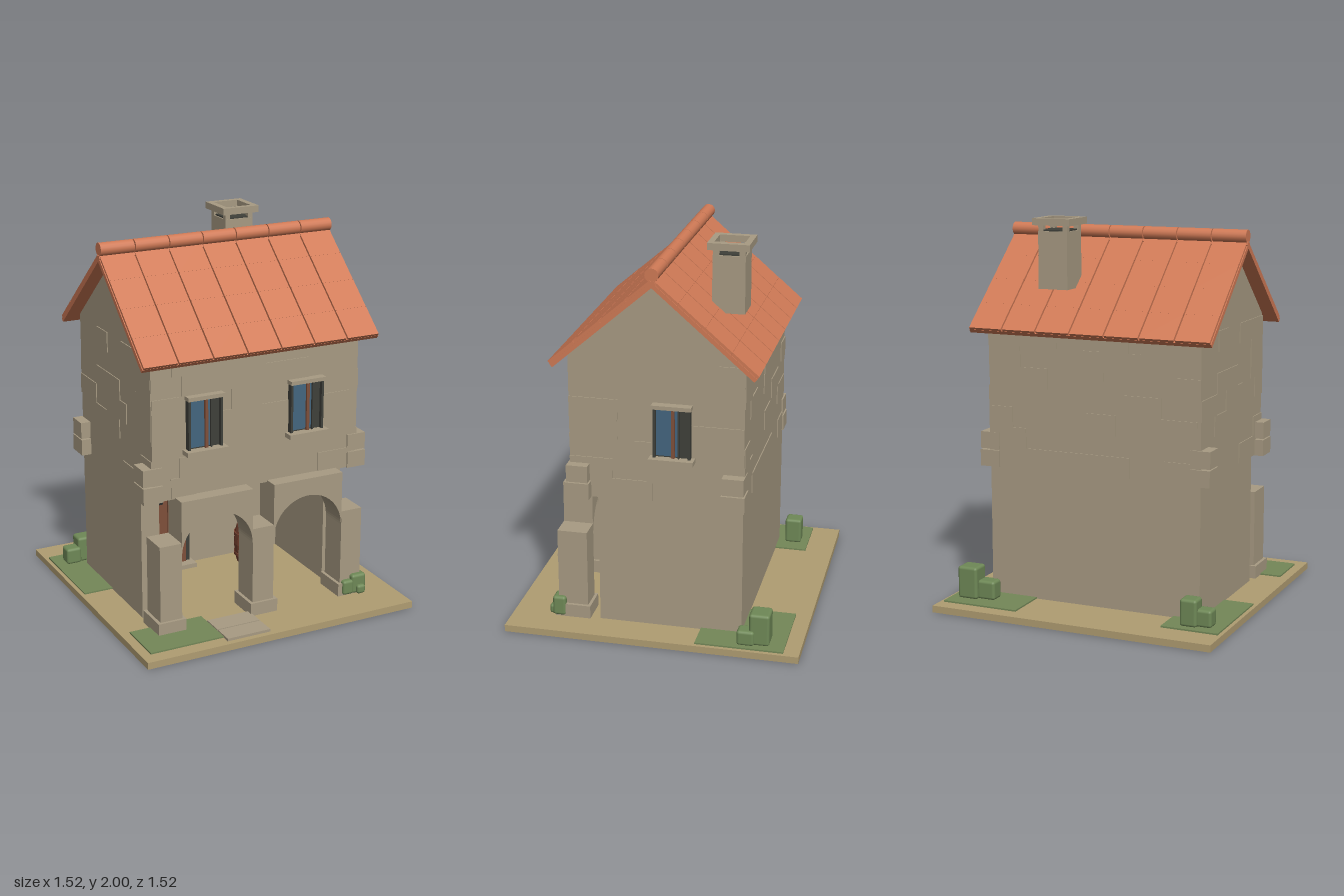
import * as THREE from 'three';
import { RoundedBoxGeometry } from 'three/addons/geometries/RoundedBoxGeometry.js';

const mat = (name, color) => {
  const m = new THREE.MeshStandardMaterial({ color });
  m.name = name;
  return m;
};

export function createModel() {
  const stone = mat('stone', 0xa89b83), tile = mat('roof tile', 0xd07a56);
  const earth = mat('earth', 0xb09d72), grass = mat('grass', 0x748858);
  const leaf = mat('leaf', 0x6f8957), glass = mat('glass', 0x44667f);
  const dark = mat('dark', 0x3f403a), wood = mat('door wood', 0x80503a);
  const barrelWood = mat('barrel wood', 0x733f2e), iron = mat('iron', 0x2e2e2d);

  const house = new THREE.Group();
  house.name = 'house';

  const add = (parent, name, geometry, material) => {
    const mesh = new THREE.Mesh(geometry, material);
    mesh.name = name;
    parent.add(mesh);
    return mesh;
  };
  const group = (name, parent = house) => {
    const g = new THREE.Group();
    g.name = name;
    parent.add(g);
    return g;
  };
  // box given by its limits on each axis
  const box = (parent, name, material, [x0, x1], [y0, y1], [z0, z1]) => {
    const g = new THREE.BoxGeometry(x1 - x0, y1 - y0, z1 - z0);
    g.translate((x0 + x1) / 2, (y0 + y1) / 2, (z0 + z1) / 2);
    return add(parent, name, g, material);
  };

  // ground, lawns and path
  box(house, 'ground', earth, [-0.76, 0.76], [0, 0.036], [-0.76, 0.76]);
  box(house, 'lawnBackLeft', grass, [-0.74, -0.44], [0.036, 0.044], [-0.61, -0.09]);
  box(house, 'lawnBackRight', grass, [0.325, 0.74], [0.036, 0.044], [-0.68, -0.23]);
  box(house, 'lawnFront', grass, [-0.71, -0.31], [0.036, 0.044], [0.43, 0.685]);
  box(house, 'pathSlab', stone, [-0.31, -0.07], [0.036, 0.05], [0.5, 0.615]);
  box(house, 'pathSlab', stone, [-0.31, -0.07], [0.036, 0.05], [0.622, 0.73]);

  // lower storey: recessed front wall between two side walls
  box(house, 'recessedWall', stone, [-0.58, 0.58], [0.036, 0.73], [-0.44, -0.22]);
  for (const s of [-1, 1]) {
    box(house, 'sideWall', stone, [s * 0.53 - 0.05, s * 0.53 + 0.05], [0.036, 0.73], [-0.22, 0.3]);
  }

  // upper storey with gables
  const gable = new THREE.Shape();
  gable.moveTo(-0.442, 0.72);
  gable.lineTo(0.442, 0.72);
  gable.lineTo(0.442, 1.47);
  gable.lineTo(0, 1.855);
  gable.lineTo(-0.442, 1.47);
  const upper = new THREE.ExtrudeGeometry(gable, { depth: 1.16, bevelEnabled: false });
  upper.translate(0, 0, -0.58);
  upper.rotateY(Math.PI / 2);
  add(house, 'upperWalls', upper, stone);

  // scattered raised stones on the upper walls
  let seed = 7;
  const rand = () => (seed = (seed * 16807) % 2147483647) / 2147483647;
  const courses = (half, depth, turn) => {
    const face = group('wallStones');
    face.rotation.y = turn;
    for (let row = 0; row < 7; row++) {
      const y = 0.725 + row * 0.105;
      for (let x = -half; x < half - 0.06;) {
        const end = Math.min(half, x + 0.1 + rand() * 0.12);
        if (rand() < 0.4) box(face, 'wallStone', stone, [x, end], [y, y + 0.105], [depth - 0.01, depth + 0.005]);
        x = end;
      }
    }
  };
  courses(0.58, 0.442, 0);
  courses(0.58, 0.442, Math.PI);
  courses(0.442, 0.58, Math.PI / 2);
  courses(0.442, 0.58, -Math.PI / 2);

  // corner stones
  for (const sx of [-1, 1]) for (const sz of [-1, 1]) {
    const c = sx * 0.58, d = sz * 0.395;
    box(house, 'cornerStone', stone, [c - 0.053, c + 0.053], [0.72, 0.806], [d - 0.06, d + 0.06]);
    box(house, 'cornerStone', stone, [c - 0.053, c + 0.053], [0.812, 0.9], [d - 0.055, d + 0.055]);
  }

  // arcade pillars and arches
  for (const x of [-0.52, 0, 0.52]) {
    box(house, 'pillarBase', stone, [x - 0.077, x + 0.077], [0.036, 0.105], [0.35, 0.535]);
    box(house, 'pillar', stone, [x - 0.06, x + 0.06], [0.1, 0.512], [0.365, 0.52]);
  }
  const arch = new THREE.Shape();
  arch.moveTo(-0.2, 0.44);
  arch.absarc(0, 0.44, 0.198, Math.PI, 0, true);
  arch.lineTo(0.2, 0.44);
  arch.lineTo(0.2, 0.73);
  arch.lineTo(-0.2, 0.73);
  const archGeometry = new THREE.ExtrudeGeometry(arch, { depth: 0.153, bevelEnabled: false, curveSegments: 24 });
  for (const x of [-0.26, 0.26]) add(house, 'arch', archGeometry, stone).position.set(x, 0, 0.366);

  // door
  const door = group('door');
  door.position.set(-0.205, 0, -0.22);
  box(door, 'doorFrame', dark, [-0.135, 0.135], [0.05, 0.572], [0, 0.02]);
  for (let i = 0; i < 4; i++) {
    const x = -0.112 + i * 0.056;
    box(door, 'doorPlank', wood, [x + 0.002, x + 0.054], [0.06, 0.555], [0.01, 0.03]);
  }
  for (const y of [0.17, 0.43]) box(door, 'hinge', iron, [-0.105, -0.03], [y - 0.008, y + 0.008], [0.03, 0.037]);
  add(door, 'doorHandle', new THREE.SphereGeometry(0.009, 10, 8), iron).position.set(0.07, 0.31, 0.037);
  box(door, 'threshold', stone, [-0.15, 0.15], [0.036, 0.06], [0, 0.08]);

  // windows
  const makeWindow = (x, z, turn) => {
    const w = group('window');
    w.position.set(x, 1.1, z);
    w.rotation.y = turn;
    box(w, 'windowRecess', dark, [-0.09, 0.09], [-0.13, 0.13], [-0.01, 0.012]);
    box(w, 'windowPane', glass, [-0.08, 0.03], [-0.118, 0.122], [0.012, 0.018]);
    for (const s of [-1, 1]) {
      box(w, 'windowJamb', dark, [s * 0.088 - 0.006, s * 0.088 + 0.006], [-0.13, 0.13], [0, 0.033]);
    }
    box(w, 'windowBar', wood, [-0.002, 0.014], [-0.125, 0.13], [0.012, 0.03]);
    box(w, 'casement', dark, [0.03, 0.038], [-0.125, 0.13], [0.012, 0.03]);
    box(w, 'windowSill', stone, [-0.113, 0.113], [-0.15, -0.126], [-0.01, 0.062]);
    box(w, 'windowLintel', stone, [-0.1, 0.1], [0.13, 0.15], [-0.01, 0.045]);
  };
  makeWindow(-0.302, 0.442, 0);
  makeWindow(0.27, 0.442, 0);
  makeWindow(0.58, -0.085, Math.PI / 2);

  // tiled roof, one slope turned round for the back
  const slopeAngle = Math.atan2(0.45, 0.52), slopeLength = 0.688, step = 1.31 / 7;
  for (const turn of [0, Math.PI]) {
    const side = group('roofSide');
    side.rotation.y = turn;
    const slope = group('roofSlope', side);
    slope.position.y = 1.895;
    slope.rotation.x = slopeAngle;
    box(slope, 'roofDeck', tile, [-0.655, 0.655], [-0.034, -0.012], [0, slopeLength]);
    for (let col = 0; col < 7; col++) for (let row = 0; row < 4; row++) {
      const x = -0.655 + col * step, z = row * slopeLength / 4;
      box(slope, 'roofTile', tile, [x + 0.004, x + step - 0.004], [-0.014, row * 0.001],
        [z, z + slopeLength / 4 - 0.001]);
    }
  }
  const ridge = new THREE.CylinderGeometry(0.034, 0.034, step - 0.006, 16);
  ridge.rotateZ(Math.PI / 2);
  for (let i = 0; i < 7; i++) add(house, 'ridgeTile', ridge, tile).position.set((i - 3) * step, 1.911, 0);

  // chimney with an open cap
  const chimney = group('chimney');
  chimney.position.set(0.242, 0, -0.305);
  box(chimney, 'chimneyStack', stone, [-0.08, 0.08], [1.645, 1.935], [-0.082, 0.082]);
  box(chimney, 'flue', dark, [-0.072, 0.072], [1.935, 1.942], [-0.074, 0.074]);
  for (const sx of [-1, 1]) {
    for (const sz of [-1, 1]) {
      box(chimney, 'capPost', stone, [sx * 0.067 - 0.013, sx * 0.067 + 0.013], [1.93, 1.968],
        [sz * 0.065 - 0.015, sz * 0.065 + 0.015]);
    }
    box(chimney, 'capSide', stone, [sx * 0.086 - 0.017, sx * 0.086 + 0.017], [1.965, 2], [-0.105, 0.105]);
    box(chimney, 'capEnd', stone, [-0.07, 0.07], [1.965, 2], [sx * 0.09 - 0.015, sx * 0.09 + 0.015]);
  }

  // barrel
  const barrel = group('barrel');
  barrel.position.set(0.24, 0.045, -0.08);
  const profile = [[0, 0], [0.07, 0], [0.083, 0.05], [0.088, 0.107], [0.083, 0.165], [0.07, 0.215], [0.062, 0.215], [0.062, 0.205], [0, 0.205]]
    .map(([x, y]) => new THREE.Vector2(x, y));
  const staves = new THREE.LatheGeometry(profile, 14).toNonIndexed();
  staves.computeVertexNormals();
  add(barrel, 'barrelBody', staves, barrelWood);
  for (const y of [0.05, 0.165]) {
    const hoop = new THREE.CylinderGeometry(0.088, 0.088, 0.016, 14);
    add(barrel, 'barrelHoop', hoop, barrelWood).position.y = y;
  }

  // bushes: centre x, centre z, width, depth, top
  for (const [x, z, w, d, top] of [
    [-0.64, -0.51, 0.085, 0.08, 0.13], [-0.567, -0.525, 0.09, 0.09, 0.18],
    [0.645, -0.55, 0.11, 0.105, 0.21], [0.675, -0.482, 0.08, 0.09, 0.12], [0.55, -0.54, 0.1, 0.08, 0.14],
    [0.5, 0.52, 0.065, 0.06, 0.12], [0.562, 0.515, 0.085, 0.07, 0.145], [0.568, 0.545, 0.05, 0.05, 0.09],
  ]) {
    const bush = new RoundedBoxGeometry(w, top - 0.04, d, 2, 0.015);
    add(house, 'bush', bush, leaf).position.set(x, (top + 0.04) / 2, z);
  }

  return house;
}
